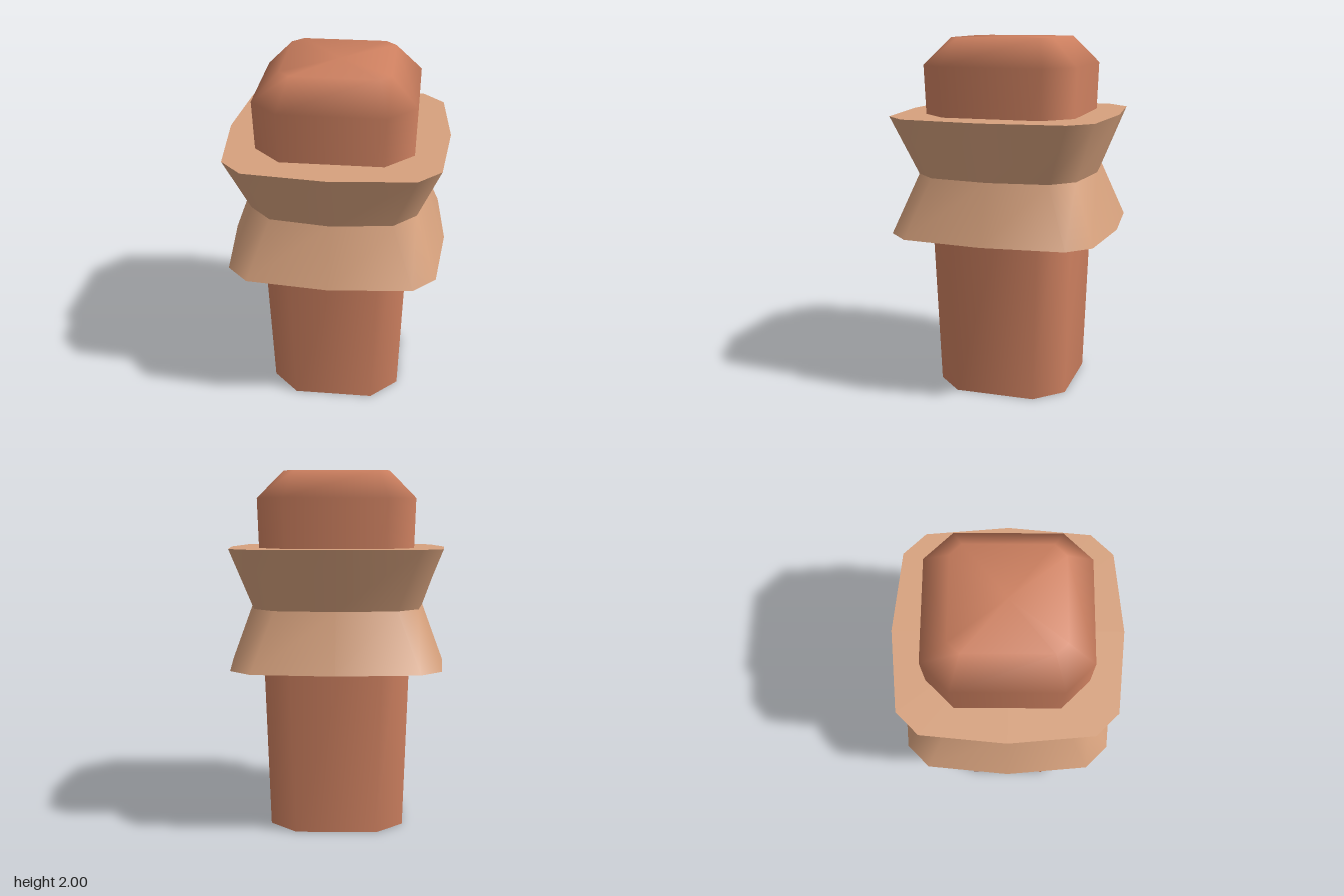
import * as THREE from 'three';

// Ring of points: a chamfered square of half width c, flat half length d,
// with an optional bulge point m in the middle of each side.
function ring(y, c, d, m) {
  const side = m ? [[-d, c], [0, m], [d, c]] : [[-d, c], [d, c]];
  const points = [];
  for (let k = 0; k < 4; k++) {
    for (const [px, pz] of side) {
      let x = px, z = pz;
      for (let t = 0; t < k; t++) [x, z] = [z, -x];
      points.push([x, y, z]);
    }
  }
  return points;
}

// Joins rings from bottom to top with smooth normals, optionally closing an end.
function loft(rings, { capTop = false, capBottom = false } = {}) {
  const n = rings[0].length;
  const positions = rings.flat(2);
  const index = [];
  for (let r = 0; r < rings.length - 1; r++) {
    for (let i = 0; i < n; i++) {
      const j = (i + 1) % n;
      const a = r * n + i, b = r * n + j;
      index.push(a, b, b + n, a, b + n, a + n);
    }
  }
  const cap = (r, up) => {
    const centre = positions.length / 3;
    positions.push(0, rings[r][0][1], 0);
    for (let i = 0; i < n; i++) {
      const a = r * n + i, b = r * n + (i + 1) % n;
      index.push(centre, up ? a : b, up ? b : a);
    }
  };
  if (capTop) cap(rings.length - 1, true);
  if (capBottom) cap(0, false);
  const geometry = new THREE.BufferGeometry();
  geometry.setAttribute('position', new THREE.Float32BufferAttribute(positions, 3));
  geometry.setIndex(index);
  geometry.computeVertexNormals();
  return geometry;
}

export function createModel() {
  const clay = new THREE.MeshStandardMaterial({ name: 'clay', color: 0xcc7f5f });
  const tan = new THREE.MeshStandardMaterial({ name: 'tan', color: 0xd6a17d });

  const model = new THREE.Group();
  model.name = 'post';
  const add = (parent, name, geometry, material) => {
    const mesh = new THREE.Mesh(geometry, material);
    mesh.name = name;
    parent.add(mesh);
  };

  // Tapered shaft with a bevelled top
  const base = ring(0, 0.375, 0.225);
  const shaft = [base, ring(1.85, 0.433, 0.283), ring(2, 0.29, 0.23)];
  add(model, 'shaft', loft(shaft, { capTop: true }), clay);
  add(model, 'shaftBase', loft([base], { capBottom: true }), clay);

  // Collar pinched at the waist: two flared bands with flat ends
  const collar = new THREE.Group();
  collar.name = 'collar';
  model.add(collar);
  const bottom = ring(0.925, 0.57, 0.45, 0.612);
  const waist = ring(1.25, 0.45, 0.33, 0.492);
  const top = ring(1.58, 0.57, 0.45, 0.612);
  add(collar, 'lowerBand', loft([bottom, waist]), tan);
  add(collar, 'upperBand', loft([waist, top]), tan);
  add(collar, 'collarTop', loft([top], { capTop: true }), tan);
  add(collar, 'collarUnderside', loft([bottom], { capBottom: true }), tan);

  return model;
}
